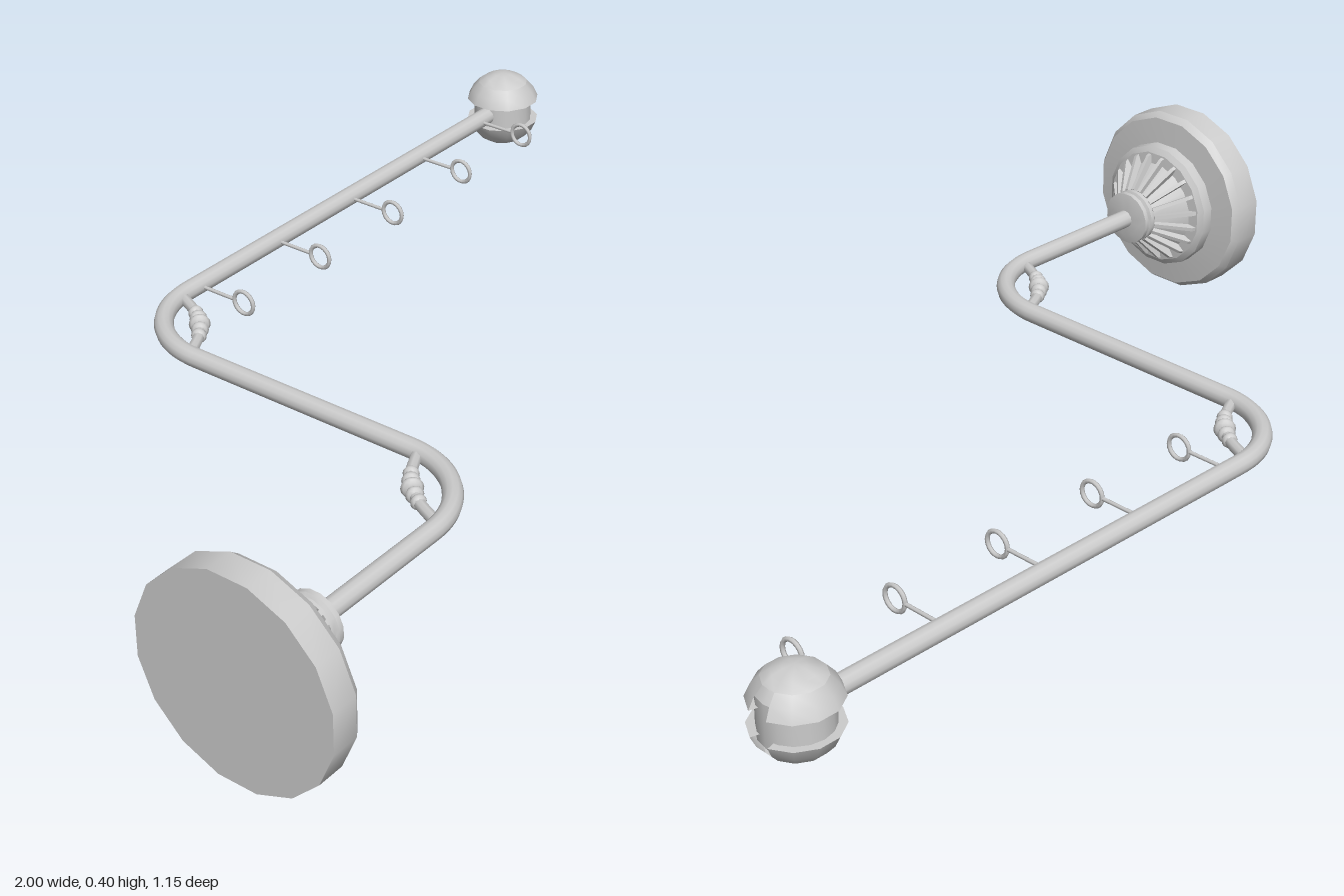
import * as THREE from 'three';
import { toCreasedNormals } from 'three/addons/utils/BufferGeometryUtils.js';

const grey = new THREE.MeshStandardMaterial({ color: 0xcccccc });
const greyDouble = new THREE.MeshStandardMaterial({ color: 0xcccccc, side: THREE.DoubleSide });
const v3 = (x, y, z) => new THREE.Vector3(x, y, z);

const AXIS_Y = 0.2, BASE_Z = 0.37, RAIL_Z = -0.5, MID_X = -0.315, BEND = 0.18;

function add(parent, name, geometry, material = grey) {
  const mesh = new THREE.Mesh(geometry, material);
  mesh.name = name;
  parent.add(mesh);
  return mesh;
}

// Lathe of [radius, height] points with hard edges kept sharp
function lathe(points, segments, start = 0, length = Math.PI * 2, crease = 0.5) {
  const pts = points.map(([r, y]) => new THREE.Vector2(r, y));
  return toCreasedNormals(new THREE.LatheGeometry(pts, segments, start, length), crease);
}

// Wall rose: stepped disc, ribbed cone and collar, turned about the x axis
function wallMount() {
  const group = new THREE.Group();
  group.name = 'wallMount';
  add(group, 'mountBody', lathe([
    [0, 0], [0.203, 0], [0.203, 0.055], [0.192, 0.07], [0.137, 0.075], [0.137, 0.1],
    [0.125, 0.108], [0.102, 0.11], [0.05, 0.168], [0.057, 0.172], [0.057, 0.182],
    [0.049, 0.186], [0.057, 0.192], [0.057, 0.202], [0.038, 0.206], [0, 0.206],
  ], 16, Math.PI / 16));
  // Thin radial ribs lying along the cone
  const ribs = 20;
  const shape = new THREE.Shape([[0.122, 0.104], [0.118, 0.116], [0.058, 0.174], [0.045, 0.168], [0.095, 0.104]]
    .map(([r, y]) => new THREE.Vector2(r, y)));
  const ribGeometry = new THREE.ExtrudeGeometry(shape, { depth: 0.008, bevelEnabled: false });
  ribGeometry.translate(0, 0, -0.004);
  for (let i = 0; i < ribs; i++) {
    add(group, 'coneRib', ribGeometry).rotation.y = (i + 0.5) / ribs * Math.PI * 2;
  }
  group.rotation.z = -Math.PI / 2;
  group.position.set(-1, AXIS_Y, BASE_Z);
  return group;
}

// Rail path: out from the wall, back, then out again, with rounded bends
function railPath() {
  const k = BEND * 0.45, y = AXIS_Y;
  const a = v3(-0.82, y, BASE_Z), b = v3(MID_X - BEND, y, BASE_Z), c = v3(MID_X, y, BASE_Z - BEND);
  const d = v3(MID_X, y, RAIL_Z + BEND), e = v3(MID_X + BEND, y, RAIL_Z), f = v3(0.88, y, RAIL_Z);
  const path = new THREE.CurvePath();
  path.add(new THREE.LineCurve3(a, b));
  path.add(new THREE.CubicBezierCurve3(b, v3(MID_X - k, y, BASE_Z), v3(MID_X, y, BASE_Z - k), c));
  path.add(new THREE.LineCurve3(c, d));
  path.add(new THREE.CubicBezierCurve3(d, v3(MID_X, y, RAIL_Z + k), v3(MID_X + k, y, RAIL_Z), e));
  path.add(new THREE.LineCurve3(e, f));
  return path;
}

// Small bowed brace with a beaded knot, set inside a bend
function brace() {
  const group = new THREE.Group();
  group.name = 'bendBrace';
  const curve = new THREE.CatmullRomCurve3([
    v3(-0.155, 0, 0.425), v3(-0.125, 0, 0.365), v3(-0.095, 0, 0.328),
    v3(-0.06, 0, 0.3), v3(-0.005, 0, 0.272),
  ]);
  add(group, 'braceRod', new THREE.TubeGeometry(curve, 20, 0.011, 8));
  [0.3, 0.4, 0.5, 0.6, 0.7].forEach((t, i) => {
    const bead = add(group, 'braceBead', new THREE.SphereGeometry(1, 10, 8));
    const r = [0.015, 0.017, 0.021, 0.017, 0.015][i];
    bead.scale.set(r, 0.011, r);
    bead.scale.set(r, r, 0.011);
    bead.position.copy(curve.getPointAt(t));
    bead.quaternion.setFromUnitVectors(v3(0, 0, 1), curve.getTangentAt(t));
  });
  return group;
}

// Wire stem ending in an upright ring
function hook() {
  const group = new THREE.Group();
  group.name = 'hook';
  const stem = add(group, 'hookStem', new THREE.CylinderGeometry(0.004, 0.004, 0.09, 6));
  stem.rotation.x = Math.PI / 2;
  stem.position.z = 0.05;
  const ring = add(group, 'hookRing', new THREE.TorusGeometry(0.024, 0.0045, 6, 18));
  ring.rotation.y = Math.PI / 2;
  ring.position.z = 0.118;
  return group;
}

// Ball finial: two notched domes around a recessed core
function finial() {
  const group = new THREE.Group();
  group.name = 'finial';
  const R = 0.083, sides = 12, step = Math.PI * 2 / sides;
  const start = Math.PI / 2 + step / 2;
  const at = (lat) => [R * Math.cos(lat), R * Math.sin(lat)];
  const lower = [0.3, 0.58, 0.86].map(at);
  const upper = [0.86, 1.1, 1.34, Math.PI / 2].map(at);
  const rim = [0.062, lower[0][1]];
  for (const turn of [0, Math.PI]) {
    const dome = new THREE.Group();
    dome.name = turn ? 'lowerDome' : 'upperDome';
    add(dome, 'domeWall', lathe([rim, ...lower], sides - 1, start, step * (sides - 1), 0.6), greyDouble);
    add(dome, 'domeCap', lathe([[0.045, upper[0][1]], ...upper], sides, start, Math.PI * 2, 0.6), greyDouble);
    dome.rotation.x = turn;
    group.add(dome);
  }
  add(group, 'finialCore', lathe([
    [0, -0.058], [0.05, -0.058], [0.064, -0.04], [0.064, 0.04], [0.05, 0.058], [0, 0.058],
  ], 16));
  group.position.set(0.92, AXIS_Y, RAIL_Z);
  return group;
}

export function createModel() {
  const model = new THREE.Group();
  model.name = 'wallRail';
  model.add(wallMount());
  add(model, 'rail', new THREE.TubeGeometry(railPath(), 160, 0.019, 12));

  // The two braces are half a turn apart about the middle of the rail
  for (const turn of [0, Math.PI]) {
    const b = brace();
    b.position.set(MID_X, AXIS_Y, (BASE_Z + RAIL_Z) / 2);
    b.rotation.y = turn;
    model.add(b);
  }

  for (const x of [-0.105, 0.128, 0.365, 0.603, 0.825]) {
    const h = hook();
    h.position.set(x, AXIS_Y, RAIL_Z);
    model.add(h);
  }

  model.add(finial());
  return model;
}
